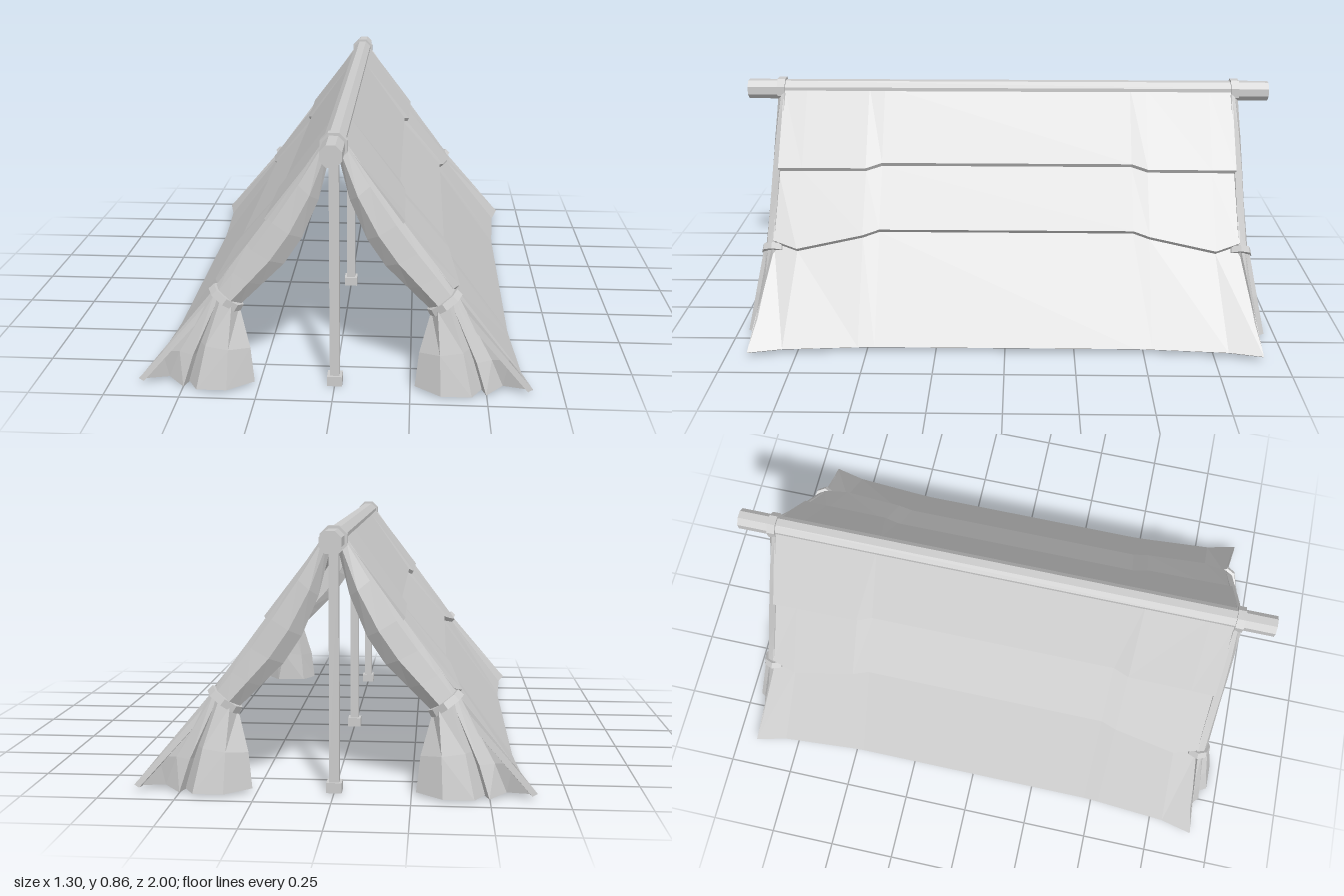
import * as THREE from 'three';

const material = new THREE.MeshStandardMaterial({ color: 0xcccccc, flatShading: true, side: THREE.DoubleSide });

// Capped loft through closed rings of [x, y, z]; sx and sz mirror it, and faces are kept outward.
function loft(rings, sx = 1, sz = 1) {
  const R = rings.map(r => r.map(([x, y, z]) => new THREE.Vector3(x * sx, y, z * sz)));
  const n = R[0].length, tris = [];
  for (let i = 0; i < R.length - 1; i++) {
    for (let j = 0; j < n; j++) {
      const k = (j + 1) % n;
      tris.push([R[i][j], R[i][k], R[i + 1][k]], [R[i][j], R[i + 1][k], R[i + 1][j]]);
    }
  }
  const cap = (ring, flip) => {
    const faces = THREE.ShapeUtils.triangulateShape(flatten(ring), []);
    for (const [a, b, c] of faces) tris.push(flip ? [ring[a], ring[c], ring[b]] : [ring[a], ring[b], ring[c]]);
  };
  // Project a cap onto the plane it mostly faces, wound the same way as the ring
  const flatten = ring => {
    const normal = new THREE.Vector3();
    ring.forEach((p, i) => normal.add(new THREE.Vector3().crossVectors(p, ring[(i + 1) % n])));
    normal.normalize();
    const u = ring[1].clone().sub(ring[0]).normalize();
    const v = new THREE.Vector3().crossVectors(normal, u);
    return ring.map(p => new THREE.Vector2(p.dot(u), p.dot(v)));
  };
  cap(R[0], true);
  cap(R[R.length - 1], false);
  let volume = 0;
  for (const [a, b, c] of tris) volume += a.dot(new THREE.Vector3().crossVectors(b, c));
  if (volume < 0) tris.forEach(t => t.reverse());
  const geometry = new THREE.BufferGeometry().setFromPoints(tris.flat());
  geometry.computeVertexNormals();
  return geometry;
}

export function createModel() {
  const group = new THREE.Group();
  const add = (name, geometry, x = 0, y = 0, z = 0) => {
    const mesh = new THREE.Mesh(geometry, material);
    mesh.name = name;
    mesh.position.set(x, y, z);
    group.add(mesh);
    return mesh;
  };

  // Ridge pole with a collar near each end
  const rod = (r, h) => new THREE.CylinderGeometry(r, r, h, 8).rotateY(Math.PI / 8).rotateX(Math.PI / 2);
  add('ridgePole', rod(0.038, 2), 0, 0.82, 0);
  for (const s of [1, -1]) add('ridgeCollar', rod(0.047, 0.03), 0, 0.82, s * 0.87);

  // Three upright posts on small feet
  for (const z of [-0.87, 0, 0.87]) {
    add('post', new THREE.BoxGeometry(0.032, 0.78, 0.032), 0, 0.41, z);
    add('postFoot', new THREE.BoxGeometry(0.05, 0.034, 0.05), 0, 0.017, z);
  }

  // Roof cloth: [z, hem z, upper fold x, y, lower fold x, y, hem x]
  const half = [
    [0.86, 0.92, 0.226, 0.572, 0.385, 0.345, 0.65],
    [0.77, 0.80, 0.224, 0.572, 0.41, 0.322, 0.622],
    [0.53, 0.53, 0.222, 0.572, 0.377, 0.364, 0.603],
    [0.47, 0.47, 0.203, 0.587, 0.36, 0.38, 0.6],
  ];
  const stations = [...half, ...half.slice().reverse().map(([z, zb, ...rest]) => [-z, -zb, ...rest])];
  const roofRings = stations.map(([z, zb, x1, y1, x2, y2, xb]) => {
    const outer = [
      [0.025, 0.835, z], [x1, y1, z], [x1 - 0.008, y1 - 0.014, z],
      [x2, y2, z], [x2 - 0.012, y2 - 0.014, z], [xb, 0.022, zb],
    ];
    const inner = [
      [xb - 0.016, 0.012, zb], [x2 - 0.03, y2 - 0.025, z], [x1 - 0.026, y1 - 0.025, z], [0.006, 0.82, z],
    ];
    return [...outer, ...inner];
  });
  for (const sx of [1, -1]) add('roofCloth', loft(roofRings, sx), 0, 0, 0);

  // Door curtain: [outer edge x, y, inner edge x, y, bulge z]
  const drape = [
    [0.045, 0.815, 0.012, 0.79, 0.885],
    [0.125, 0.70, 0.05, 0.64, 0.895],
    [0.215, 0.575, 0.105, 0.51, 0.9],
    [0.285, 0.48, 0.165, 0.42, 0.9],
    [0.345, 0.40, 0.24, 0.345, 0.9],
    [0.395, 0.33, 0.315, 0.27, 0.9],
  ];
  const curtainRings = drape.map(([ox, oy, ix, iy, z]) => {
    const at = (t, d) => [ox + (ix - ox) * t, oy + (iy - oy) * t, d];
    return [at(0, 0.855), at(0.15, z - 0.015), at(0.65, z), at(1, 0.865), at(0.7, 0.84)];
  });

  // Gathered cloth below the tie
  const skirtRings = [
    [[0.315, 0.265, 0.86], [0.335, 0.28, 0.9], [0.37, 0.305, 0.9], [0.395, 0.325, 0.86], [0.37, 0.305, 0.825], [0.335, 0.28, 0.825]],
    [[0.278, 0.13, 0.89], [0.345, 0.14, 0.935], [0.42, 0.15, 0.93], [0.45, 0.15, 0.88], [0.405, 0.14, 0.82], [0.32, 0.13, 0.825]],
    [[0.265, 0.012, 0.9], [0.35, 0.008, 0.96], [0.45, 0.008, 0.96], [0.485, 0.008, 0.9], [0.43, 0.01, 0.82], [0.31, 0.012, 0.82]],
  ];

  // Corner flap that folds round from the roof hem
  const flapRings = [
    [[0.405, 0.315, 0.865], [0.395, 0.31, 0.88], [0.38, 0.30, 0.885], [0.375, 0.295, 0.87], [0.385, 0.305, 0.855]],
    [[0.572, 0.115, 0.9], [0.515, 0.11, 0.89], [0.465, 0.11, 0.918], [0.45, 0.11, 0.88], [0.51, 0.12, 0.85]],
    [[0.65, 0.02, 0.92], [0.555, 0.012, 0.88], [0.498, 0.004, 0.935], [0.48, 0.004, 0.88], [0.56, 0.012, 0.83]],
  ];

  for (const sx of [1, -1]) {
    for (const sz of [1, -1]) {
      add('curtain', loft(curtainRings, sx, sz));
      add('curtainSkirt', loft(skirtRings, sx, sz));
      add('cornerFlap', loft(flapRings, sx, sz));
      // Tie band round the gathered curtain
      const tie = add('curtainTie', new THREE.CylinderGeometry(0.06, 0.064, 0.025, 8), sx * 0.356, 0.298, sz * 0.862);
      tie.scale.z = 0.75;
      tie.rotation.z = sx * 0.64;
    }
  }
  return group;
}
